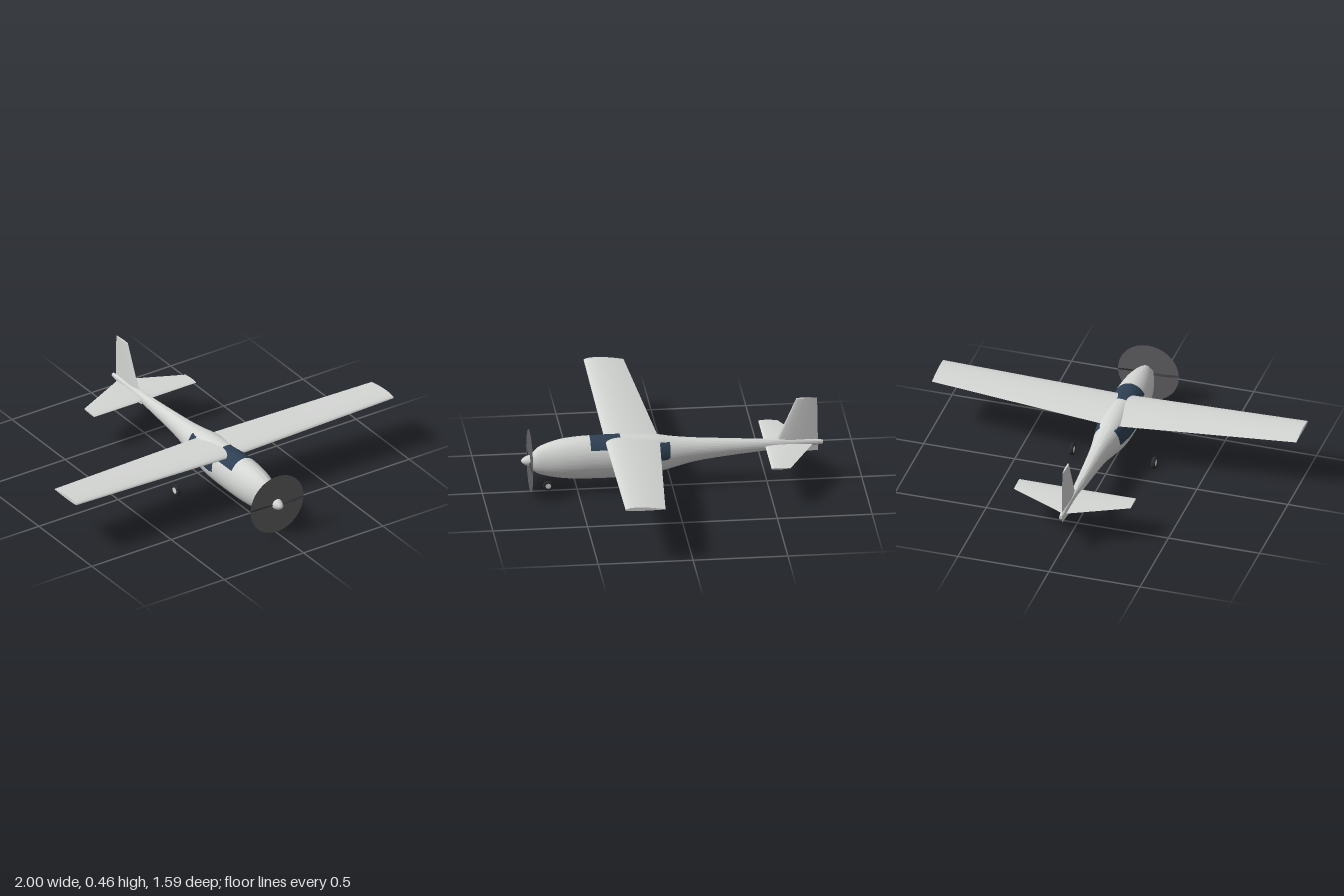
import * as THREE from 'three';
import { toCreasedNormals } from 'three/addons/utils/BufferGeometryUtils.js';

const mat = (name, color, side = THREE.FrontSide) => {
  const m = new THREE.MeshStandardMaterial({ color, side });
  m.name = name;
  return m;
};

// Skins closed rings into a capped solid; isAccent picks quads for the second material
function loft(rings, isAccent = () => false) {
  const n = rings[0].length, sets = [[], []];
  for (let i = 0; i < rings.length - 1; i++) {
    for (let j = 0; j < n; j++) {
      const k = (j + 1) % n;
      const a = rings[i][j], b = rings[i][k], c = rings[i + 1][k], d = rings[i + 1][j];
      const mid = a.clone().add(b).add(c).add(d).multiplyScalar(0.25);
      sets[isAccent(mid) ? 1 : 0].push(a, b, c, a, c, d);
    }
  }
  const cap = (ring, flip) => {
    const centre = ring.reduce((s, p) => s.add(p), new THREE.Vector3()).divideScalar(n);
    ring.forEach((p, j) => {
      const q = ring[(j + 1) % n];
      sets[0].push(centre, ...(flip ? [q, p] : [p, q]));
    });
  };
  cap(rings[0], true);
  cap(rings[rings.length - 1], false);
  const geo = new THREE.BufferGeometry().setFromPoints([...sets[0], ...sets[1]]);
  geo.addGroup(0, sets[0].length, 0);
  if (sets[1].length) geo.addGroup(sets[0].length, sets[1].length, 1);
  return toCreasedNormals(geo, 0.7);
}

// Airfoil outline from trailing edge over the upper side and back: [fraction from nose, height]
function foil(upper, lower, n = 36) {
  return Array.from({ length: n }, (_, k) => {
    const t = (k / n) * Math.PI * 2;
    const s = (1 + Math.cos(t)) / 2;
    const h = 2.6 * Math.sqrt(s) * (1 - s);
    return [s, t < Math.PI ? h * upper : -h * lower];
  });
}

// Airfoil ring across x
const wingRing = (x, front, back, yFront, yBack, upper, lower) =>
  foil(upper, lower).map(([s, h]) =>
    new THREE.Vector3(x, yFront + (yBack - yFront) * s + h, front + (back - front) * s));

// Body stations: z, top, bottom, half width
const stations = [
  [-0.795, 0.222, 0.2, 0.009], [-0.75, 0.23, 0.194, 0.013], [-0.6, 0.236, 0.184, 0.018],
  [-0.4, 0.246, 0.168, 0.03], [-0.2, 0.259, 0.147, 0.044], [-0.1, 0.266, 0.131, 0.054],
  [0, 0.277, 0.106, 0.07], [0.1, 0.293, 0.083, 0.087], [0.2, 0.3, 0.07, 0.093],
  [0.3, 0.301, 0.066, 0.094], [0.4, 0.3, 0.066, 0.093], [0.5, 0.297, 0.068, 0.089],
  [0.6, 0.285, 0.077, 0.075], [0.7, 0.252, 0.1, 0.046], [0.745, 0.212, 0.127, 0.025],
];

// Smooth station lookup
function stationAt(z) {
  let i = 0;
  while (i < stations.length - 2 && z > stations[i + 1][0]) i++;
  const a = stations[i], b = stations[i + 1], dz = b[0] - a[0];
  const p = stations[i - 1] ?? a, q = stations[i + 2] ?? b, t = (z - a[0]) / dz;
  return [1, 2, 3].map((c) => {
    const m0 = ((b[c] - p[c]) / (b[0] - p[0])) * dz;
    const m1 = ((q[c] - a[c]) / (q[0] - a[0])) * dz;
    const t2 = t * t, t3 = t2 * t;
    return (2 * t3 - 3 * t2 + 1) * a[c] + (t3 - 2 * t2 + t) * m0 + (3 * t2 - 2 * t3) * b[c] + (t3 - t2) * m1;
  });
}

export function createModel() {
  const model = new THREE.Group();
  model.name = 'airplane';
  const body = mat('light grey', 0xd4d6d4);
  const glass = mat('dark blue glass', 0x2f4054);
  const rubber = mat('black rubber', 0x2b2b2d);
  const blade = mat('dark blade', 0x3c3c3f);
  const blur = mat('propeller disc grey', 0x616163, THREE.DoubleSide);
  const add = (name, geo, material, parent = model) => {
    const mesh = new THREE.Mesh(geo, material);
    mesh.name = name;
    parent.add(mesh);
    return mesh;
  };

  // Fuselage with windscreen and cabin side windows
  const rings = [];
  for (let i = 0; i <= 154; i++) {
    const z = -0.795 + i * 0.01;
    const [top, bottom, half] = stationAt(z);
    const mid = (top + bottom) / 2, ry = (top - bottom) / 2;
    rings.push(Array.from({ length: 96 }, (_, j) => {
      const t = (j / 96) * Math.PI * 2;
      return new THREE.Vector3(half * Math.cos(t), mid + ry * Math.sin(t), z);
    }));
  }
  const isWindow = ({ y, z }) =>
    (z > 0.275 && z < 0.43 && y > 0.25) ||
    (z > 0.015 && z < 0.28 && y < 0.265 && y > 0.165 + Math.max(0, 0.15 - z) * 0.13);
  add('fuselage', loft(rings, isWindow), [body, glass]);

  // Main wing with slight dihedral
  const tip = (x) => wingRing(x, 0.355, 0.145, 0.302, 0.298, 0.015, 0.005);
  add('wing', loft([
    tip(-1),
    wingRing(0, 0.355, 0.065, 0.276, 0.262, 0.024, 0.012),
    tip(1),
  ]), body);

  // Tailplane
  const tailTip = (x) => wingRing(x, -0.49, -0.59, 0.206, 0.206, 0.005, 0.005);
  add('tailplane', loft([
    tailTip(-0.32),
    wingRing(0, -0.49, -0.745, 0.205, 0.205, 0.008, 0.008),
    tailTip(0.32),
  ]), body);

  // Tail fin
  const finRing = (y, front, back, t) => foil(t, t).map(([s, h]) =>
    new THREE.Vector3(-h, y, front + (back - front) * s));
  add('tailFin', loft([
    finRing(0.165, -0.522, -0.77, 0.009),
    finRing(0.465, -0.655, -0.765, 0.005),
  ]), body);

  // Propeller: spinner, blurred disc and two twisted blades
  const propeller = new THREE.Group();
  propeller.name = 'propeller';
  propeller.position.set(0, 0.176, 0.75);
  model.add(propeller);
  const spinnerProfile = [[0.03, -0.012], [0.029, 0.005], [0.024, 0.022], [0.015, 0.037], [0.007, 0.044], [0, 0.046]];
  const spinner = add('spinner', new THREE.LatheGeometry(
    spinnerProfile.map(([r, h]) => new THREE.Vector2(r, h)), 32), body, propeller);
  spinner.rotation.x = Math.PI / 2;
  add('propellerDisc', new THREE.CircleGeometry(0.167, 64), blur, propeller);
  for (const turn of [0, Math.PI]) {
    const bladeRings = [[0.005, 0.012, 1.0], [0.06, 0.024, 0.65], [0.12, 0.02, 0.4], [0.166, 0.01, 0.28]]
      .map(([x, chord, twist]) => foil(0.0025, 0.0015, 16).map(([s, h]) => {
        const c = (0.5 - s) * chord;
        // chord lies in the disc plane and is pitched by the twist
        return new THREE.Vector3(x, h * Math.sin(twist) - c * Math.cos(twist), h * Math.cos(twist) + c * Math.sin(twist));
      }));
    // upper side faces forward, so reverse the order around the blade
    bladeRings.forEach((r) => {
      const [p, q, w] = [r[0], r[4], r[8]];
      const n = q.clone().sub(p).cross(w.clone().sub(q));
      if (n.x < 0) r.reverse();
    });
    add('propellerBlade', loft(bladeRings), blade, propeller).rotation.z = turn - 0.03;
  }

  // Wheels: rounded tyre around a pale hub
  const wheel = (name, x, z, radius) => {
    const g = new THREE.Group();
    g.name = name;
    g.position.set(x, radius + 0.001, z);
    g.rotation.y = Math.PI / 2;
    const w = radius * 0.33;
    const profile = [[0.5, -0.8], [0.8, -1], [0.94, -0.75], [1, -0.3], [1, 0.3], [0.94, 0.75], [0.8, 1], [0.5, 0.8]]
      .map(([r, h]) => new THREE.Vector2(r * radius, h * w));
    add('tyre', new THREE.LatheGeometry(profile, 32), rubber, g).rotation.x = Math.PI / 2;
    add('hub', new THREE.CylinderGeometry(radius * 0.53, radius * 0.53, w * 1.7, 24), body, g).rotation.x = Math.PI / 2;
    model.add(g);
  };
  wheel('noseWheel', 0, 0.653, 0.027);
  wheel('leftWheel', 0.225, 0.133, 0.033);
  wheel('rightWheel', -0.225, 0.133, 0.033);

  return model;
}
